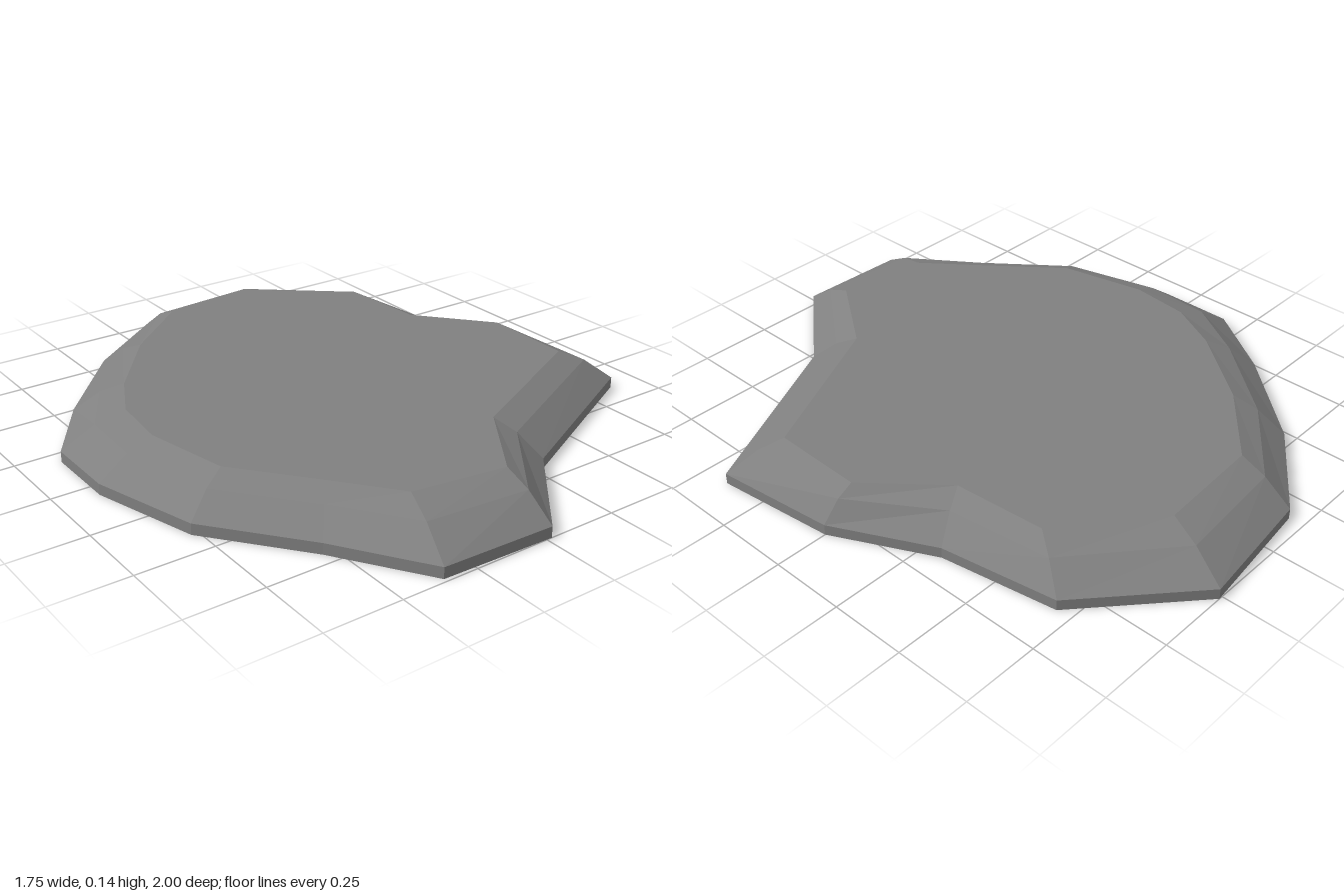
import * as THREE from 'three';

// Outline at the ground and matching outline of the flat top, as [x, z]
const OUTER = [
  [-0.153, -0.95], [0.262, -1], [0.6, -0.7], [0.664, -0.32], [0.825, 0],
  [0.873, 0.4], [0.275, 0.695], [0.018, 1], [-0.355, 0.987], [-0.54, 0.705],
  [-0.773, 0.41], [-0.873, 0.06], [-0.873, -0.19], [-0.71, -0.435], [-0.45, -0.73],
];
const INNER = [
  [-0.155, -0.765], [0.2, -0.785], [0.495, -0.55], [0.52, -0.245], [0.72, -0.01],
  [0.715, 0.3], [0.2, 0.55], [0.018, 0.81], [-0.29, 0.765], [-0.44, 0.575],
  [-0.63, 0.34], [-0.69, 0.055], [-0.67, -0.145], [-0.585, -0.315], [-0.39, -0.565],
];
const TOP = 0.138;

// One ring of points, t of the way from the outer to the inner outline
function ring(t, y) {
  return OUTER.map(([x, z], i) => [
    x + (INNER[i][0] - x) * t, y, z + (INNER[i][1] - z) * t,
  ]);
}

// Band of quads joining two rings, facing outward
function band(low, high) {
  const pos = [];
  low.forEach((a, i) => {
    const j = (i + 1) % low.length;
    pos.push(...low[j], ...a, ...high[i], ...low[j], ...high[i], ...high[j]);
  });
  const geo = new THREE.BufferGeometry();
  geo.setAttribute('position', new THREE.Float32BufferAttribute(pos, 3));
  geo.computeVertexNormals();
  return geo;
}

export function createModel() {
  const group = new THREE.Group();
  group.name = 'flatRock';
  const material = new THREE.MeshStandardMaterial({
    color: 0x808080, flatShading: true, side: THREE.DoubleSide,
  });
  const add = (name, geo) => {
    const mesh = new THREE.Mesh(geo, material);
    mesh.name = name;
    group.add(mesh);
  };

  // Upright rim and two bevels, open underneath
  const rings = [ring(0, 0), ring(0, 0.036), ring(0.53, 0.105), ring(1, TOP)];
  ['rim', 'lowerSlope', 'upperSlope'].forEach((name, i) => {
    add(name, band(rings[i], rings[i + 1]));
  });

  // Flat top
  const shape = new THREE.Shape(INNER.map(([x, z]) => new THREE.Vector2(x, -z)));
  add('flatTop', new THREE.ShapeGeometry(shape).rotateX(-Math.PI / 2).translate(0, TOP, 0));
  return group;
}
